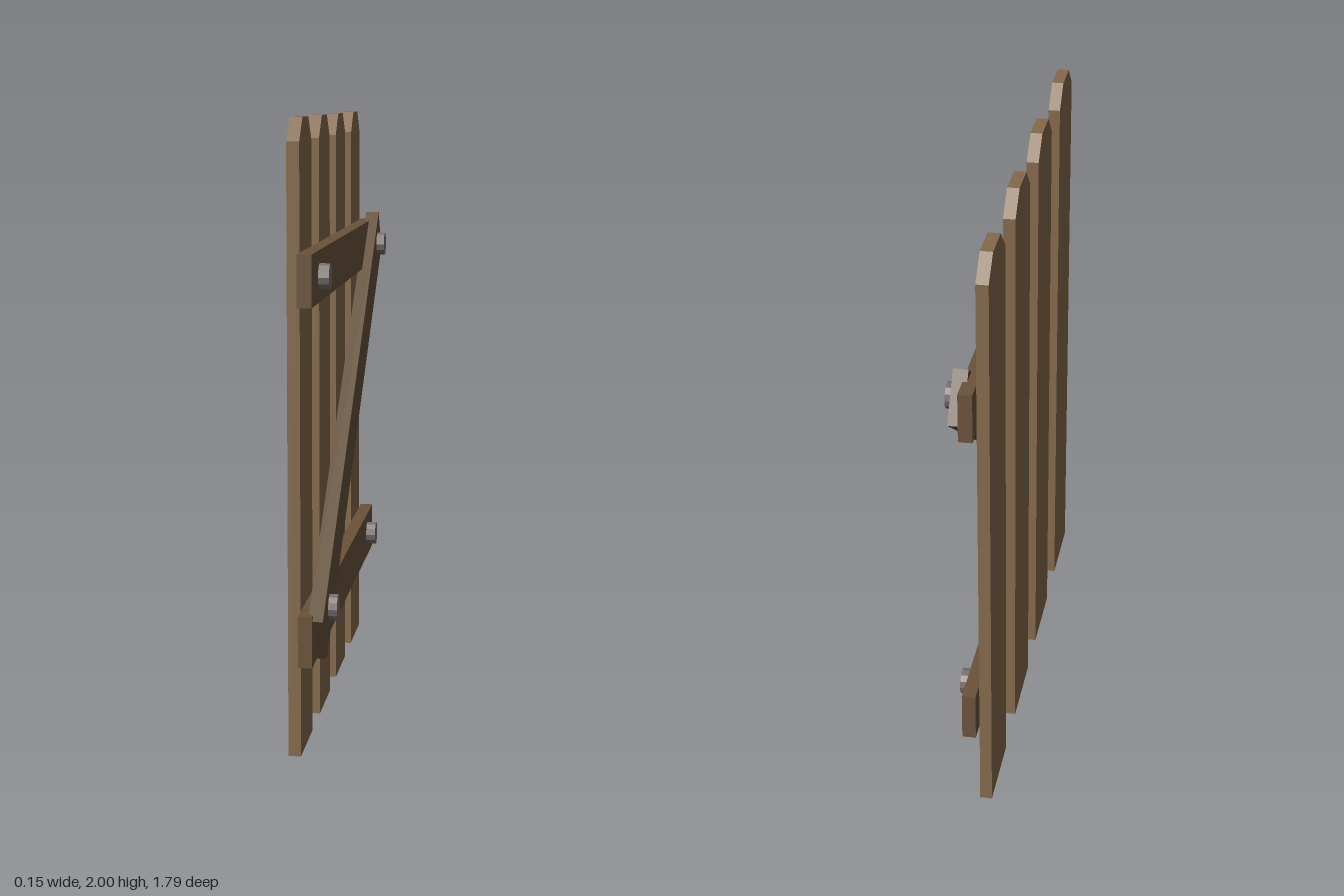
import * as THREE from 'three';

const mat = (color) => new THREE.MeshStandardMaterial({ color, flatShading: true });

export function createModel() {
  const gate = new THREE.Group();
  gate.name = 'picketGate';
  const picketWood = mat(0x84694b);
  const railWood = mat(0x6a523a);
  const braceWood = mat(0x63503a);
  const boltMetal = mat(0x786c6c);

  const add = (name, geometry, material, x, y, z) => {
    const mesh = new THREE.Mesh(geometry, material);
    mesh.name = name;
    mesh.position.set(x, y, z);
    gate.add(mesh);
    return mesh;
  };

  // Upright pickets with clipped tops, extruded along x
  const outline = [[-0.14, 0], [0.14, 0], [0.14, 1.927], [0.065, 2], [-0.065, 2], [-0.14, 1.927]];
  const picket = new THREE.ExtrudeGeometry(
    new THREE.Shape(outline.map(([a, b]) => new THREE.Vector2(a, b))),
    { depth: 0.04, bevelEnabled: false }
  );
  picket.rotateY(Math.PI / 2);
  for (const z of [0.689, 0.225, -0.225, -0.689]) add('picket', picket, picketWood, -0.075, 0, z);

  // Horizontal rails
  const rail = new THREE.BoxGeometry(0.045, 0.163, 1.79);
  add('upperRail', rail, railWood, -0.0125, 1.509, 0);
  add('lowerRail', rail, railWood, -0.0125, 0.388, 0);

  // Diagonal brace, low at +z and high at -z
  const rise = 1.168, run = 1.683;
  const brace = add('diagonalBrace', new THREE.BoxGeometry(0.048, 0.174, Math.hypot(rise, run)),
    braceWood, 0.019, 0.966, 0);
  brace.rotation.x = Math.atan2(rise, run);

  // Bolts: two through the rails, two through the brace ends
  const bolt = new THREE.CylinderGeometry(0.042, 0.042, 0.08, 12);
  bolt.rotateZ(Math.PI / 2);
  const bolts = [[0.004, 1.507, 0.7], [0.031, 1.505, -0.75], [0.031, 0.46, 0.72], [0.004, 0.395, -0.713]];
  for (const [x, y, z] of bolts) add('bolt', bolt, boltMetal, x, y, z);

  return gate;
}
